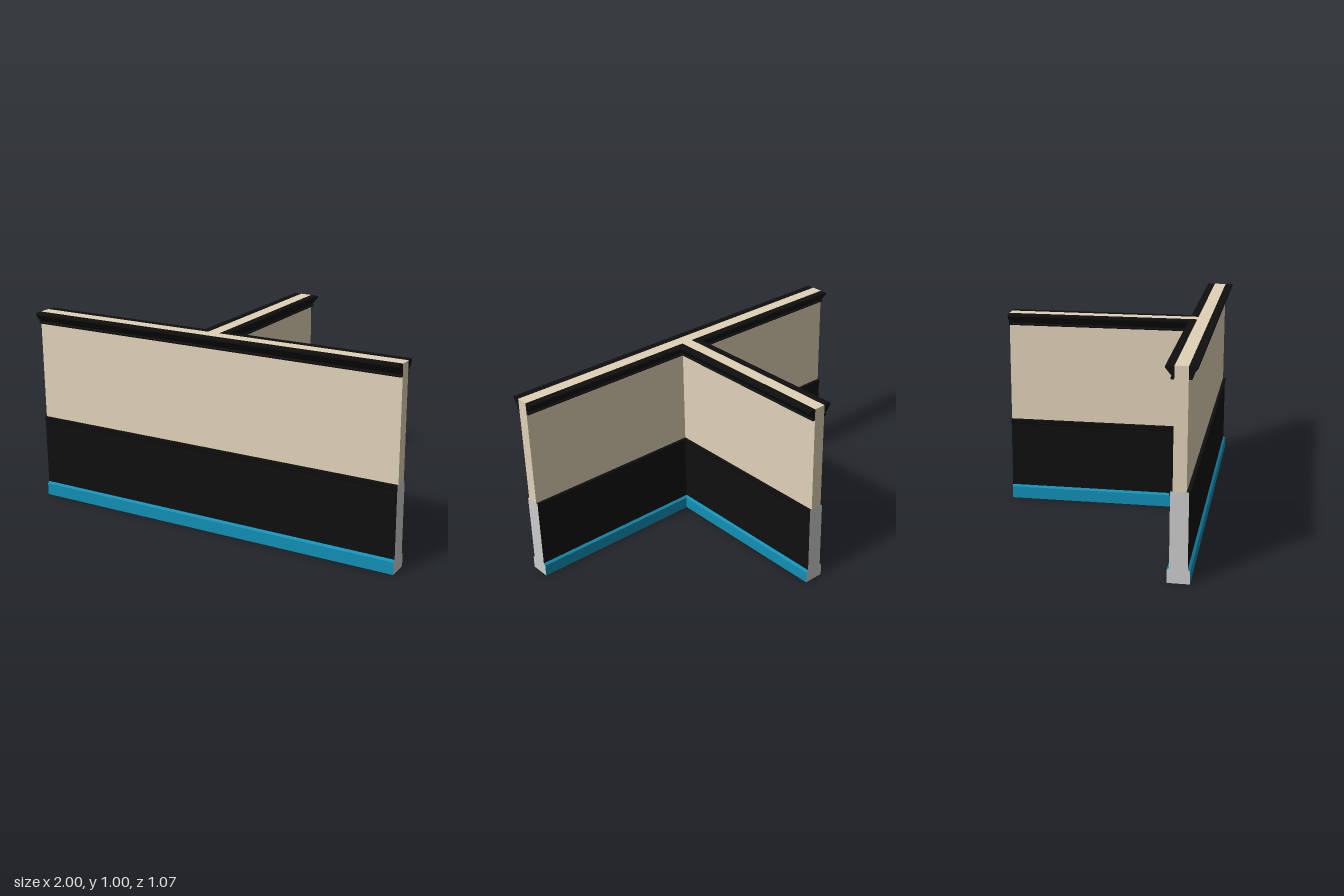
import * as THREE from 'three';

const AXIS = 0.464;   // z of the long wall's centre line
const BACK = -0.535;  // z of the short wall's free end

const paint = (color) => new THREE.MeshStandardMaterial({ color });
const plaster = paint(0xe0d2b7);
const black = paint(0x0f0f0f);
const blue = paint(0x128fb5);
const grey = paint(0xcccccc);

// The three faces of the T-shaped plan, at distance h from the centre lines, as [x, z]
const runs = [
  (h) => [[-1, AXIS + h], [1, AXIS + h]],
  (h) => [[1, AXIS - h], [h, AXIS - h], [h, BACK]],
  (h) => [[-h, BACK], [-h, AXIS - h], [-1, AXIS - h]],
];

function meshFrom(positions, name, material) {
  const geometry = new THREE.BufferGeometry();
  geometry.setAttribute('position', new THREE.Float32BufferAttribute(positions, 3));
  geometry.computeVertexNormals();
  const mesh = new THREE.Mesh(geometry, material);
  mesh.name = name;
  return mesh;
}

// Point of a run: corner i for the profile point [h, y]
const at = (run, i, [h, y]) => {
  const corners = run(h);
  const [x, z] = corners.at(i);
  return [x, y, z];
};

// Runs a profile (listed upwards) along every face, mitred in the inner corners
function sweep(name, profile, material) {
  const out = [];
  for (const run of runs) {
    for (let i = 0; i < run(0).length - 1; i++) {
      for (let j = 0; j < profile.length - 1; j++) {
        const a = at(run, i, profile[j]);
        const b = at(run, i + 1, profile[j]);
        const c = at(run, i + 1, profile[j + 1]);
        const d = at(run, i, profile[j + 1]);
        out.push(...a, ...b, ...c, ...a, ...c, ...d);
      }
    }
  }
  return meshFrom(out, name, material);
}

// Closes both ends of every run with the profile's outline
function ends(name, profile, material) {
  const out = [];
  const faces = THREE.ShapeUtils.triangulateShape(profile.map((p) => new THREE.Vector2(...p)), []);
  for (const run of runs) {
    for (const [a, b, c] of faces) {
      for (const k of [a, b, c]) out.push(...at(run, 0, profile[k]));
      for (const k of [a, c, b]) out.push(...at(run, -1, profile[k]));
    }
  }
  return meshFrom(out, name, material);
}

// Flat T-shaped face, looking up (side 1) or down (side -1)
function slab(name, h, y, side, material) {
  const outline = runs.flatMap((run) => run(h)).map(([x, z]) => new THREE.Vector2(x, -side * z));
  const geometry = new THREE.ShapeGeometry(new THREE.Shape(outline));
  geometry.rotateX(-side * Math.PI / 2).translate(0, y, 0);
  const mesh = new THREE.Mesh(geometry, material);
  mesh.name = name;
  return mesh;
}

export function createModel() {
  const group = new THREE.Group();
  group.name = 'tJunctionWall';

  // Profiles as [distance from centre line, height]
  const skirting = [[0.053, 0], [0.053, 0.062], [0.042, 0.072]];
  const wainscot = [[0.042, 0.072], [0.042, 0.435], [0.031, 0.435]];
  const upper = [[0.031, 0.435], [0.031, 1]];
  const rail = [[0.042, 0.41], [0.046, 0.416], [0.045, 0.423], [0.048, 0.43], [0.048, 0.435], [0.042, 0.435]];
  const crown = [[0.031, 0.94], [0.045, 0.94], [0.048, 0.945], [0.04, 0.952], [0.071, 0.99], [0.07, 1], [0.031, 1]];

  // Wall faces
  group.add(
    sweep('skirting', skirting, blue),
    sweep('wainscot', wainscot, black),
    sweep('upperWall', upper, plaster),
  );

  // Wall ends, top and underside
  group.add(
    ends('lowerWallEnds', [[0, 0], ...skirting, ...wainscot.slice(1), [0, 0.435]], grey),
    ends('upperWallEnds', [[0, 0.435], ...upper, [0, 1]], plaster),
    slab('wallTop', 0.031, 1, 1, plaster),
    slab('wallUnderside', 0.053, 0, -1, blue),
  );

  // Black mouldings
  group.add(
    sweep('chairRail', rail, black),
    ends('chairRailEnds', rail, black),
    sweep('crownMoulding', crown, black),
    ends('crownMouldingEnds', crown, black),
  );
  return group;
}
